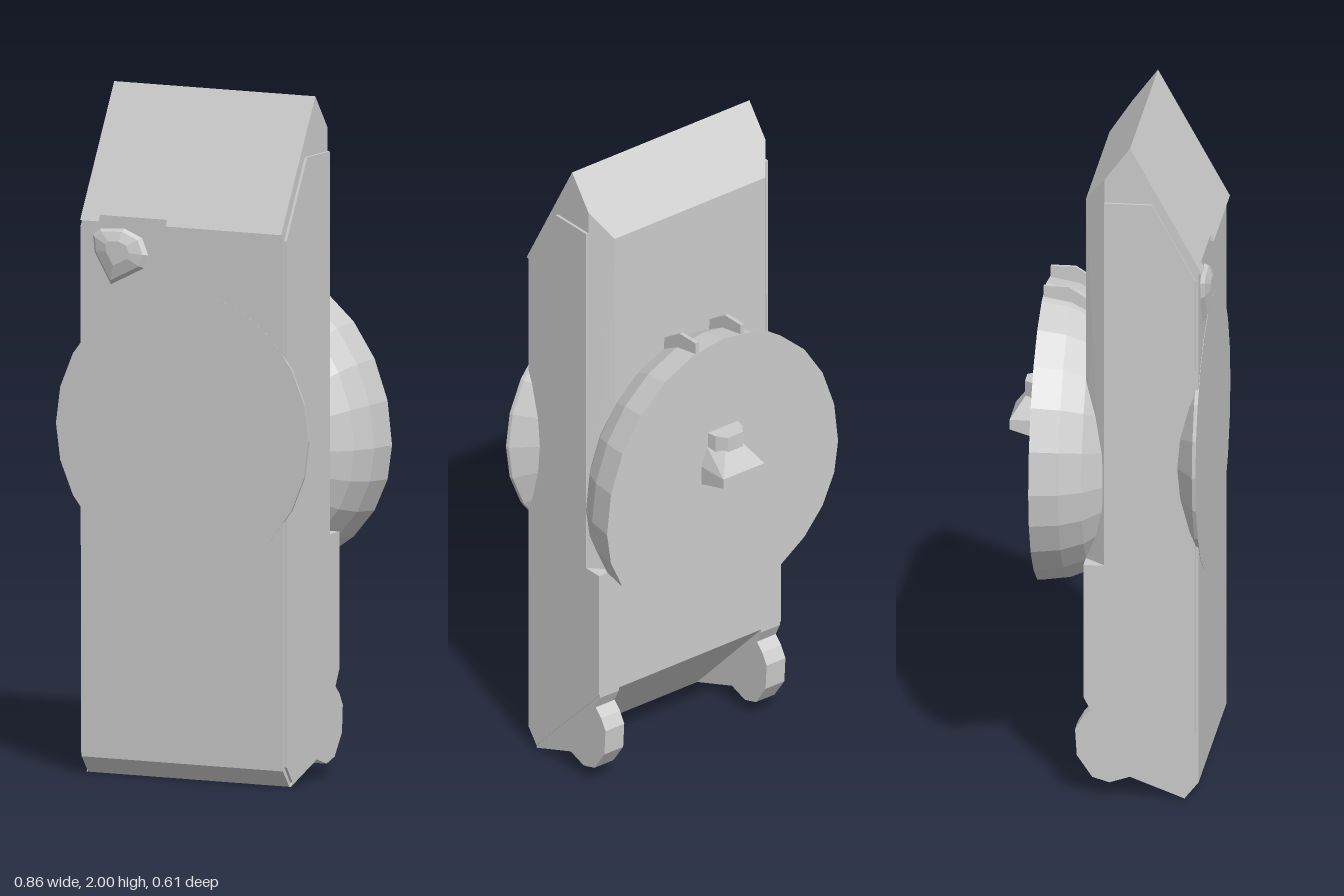
import * as THREE from 'three';
import { ConvexGeometry } from 'three/addons/geometries/ConvexGeometry.js';

const material = new THREE.MeshStandardMaterial({ color: 0xcccccc, flatShading: true });

function addPart(group, name, geometry) {
  const geo = geometry.index ? geometry.toNonIndexed() : geometry;
  geo.computeVertexNormals();
  const mesh = new THREE.Mesh(geo, material);
  mesh.name = name;
  group.add(mesh);
}

// Extrude a side profile of [z, y] points across x0..x1
function sideExtrude(profile, x0, x1) {
  const shape = new THREE.Shape(profile.map(([z, y]) => new THREE.Vector2(z, y)));
  const geo = new THREE.ExtrudeGeometry(shape, { depth: x1 - x0, bevelEnabled: false });
  return geo.rotateY(-Math.PI / 2).translate(x1, 0, 0);
}

// Hull of points mirrored in x
function mirroredHull(points) {
  return new ConvexGeometry(points.flatMap(([x, y, z]) => [
    new THREE.Vector3(x, y, z), new THREE.Vector3(-x, y, z)]));
}

// Revolve [radius, z] points around the z axis
function revolveZ(points, sides) {
  return new THREE.LatheGeometry(points.map(([r, z]) => new THREE.Vector2(r, z)), sides)
    .rotateX(Math.PI / 2);
}

export function createModel() {
  const model = new THREE.Group();
  model.name = 'device';

  // Body with pointed top and sloping underside
  addPart(model, 'body', sideExtrude([
    [0.24, 0], [0.28, 0.05], [0.28, 1.638], [0.08, 2], [0.005, 1.9],
    [0.005, 0.71], [-0.055, 0.71], [-0.055, 0.31]], -0.33, 0.33));

  // Chamfered upper back
  addPart(model, 'upperBack', mirroredHull([
    [0.335, 0.71, 0.005], [0.28, 0.71, -0.055],
    [0.33, 1.9, 0.005], [0.28, 1.82, -0.055]]));

  // Lip under the sloping top, broken by a notch
  for (const [x0, x1] of [[-0.33, -0.27], [-0.05, 0.33]]) {
    addPart(model, 'topLip', sideExtrude([[0.275, 1.62], [0.29, 1.62], [0.28, 1.638], [0.275, 1.64]], x0, x1));
  }

  // Thin side panels and bottom feet
  const panel = [[0.235, 0.012], [0.27, 0.06], [0.272, 1.6], [0.145, 1.83], [0.005, 1.83],
    [0.005, 0.71], [-0.055, 0.71], [-0.055, 0.31]];
  const foot = [[0.24, 0], [0.1, 0.2], [-0.055, 0.33], [-0.055, 0.3], [-0.035, 0.26], [-0.06, 0.235],
    [-0.08, 0.2], [-0.075, 0.12], [-0.03, 0.055], [0.02, 0.04], [0.08, 0.06]];
  for (const s of [-1, 1]) {
    const span = (a, b) => [Math.min(s * a, s * b), Math.max(s * a, s * b)];
    addPart(model, 'sidePanel', sideExtrude(panel, ...span(0.32, 0.338)));
    addPart(model, 'foot', sideExtrude(foot, ...span(0.265, 0.335)));
  }

  // Round front plate that bulges past both sides
  addPart(model, 'frontBulge', revolveZ(
    [[0.33, 0.213], [0.412, 0.27], [0.414, 0.281], [0, 0.281]], 24).translate(0, 1.02, 0));

  // Faceted button
  const rim = [[-0.295, 1.58], [-0.29, 1.53], [-0.235, 1.435], [-0.125, 1.49],
    [-0.11, 1.53], [-0.13, 1.58], [-0.19, 1.605], [-0.27, 1.6]];
  const ring = (k, z) => rim.map(([x, y]) =>
    new THREE.Vector3(-0.2 + (x + 0.2) * k, 1.54 + (y - 1.54) * k, z));
  addPart(model, 'button', new ConvexGeometry([...ring(1, 0.278), ...ring(0.85, 0.292), ...ring(0.42, 0.304)]));

  // Egg-shaped bowl on the back, taller above its centre
  const bowl = revolveZ([[0, -0.205], [0.43, -0.205], [0.417, -0.12],
    [0.387, -0.055], [0.335, 0], [0, 0]], 24);
  const pos = bowl.attributes.position;
  for (let i = 0; i < pos.count; i++) {
    const y = pos.getY(i);
    pos.setY(i, 0.95 + y * (y > 0 ? 0.5 : 0.39) / 0.43);
  }
  addPart(model, 'backBowl', bowl);

  // Ribs at the top of the bowl
  for (const x of [-0.075, 0.093]) {
    addPart(model, 'bowlRib', sideExtrude([[-0.203, 1.38], [-0.055, 1.36], [-0.06, 1.425],
      [-0.13, 1.47], [-0.203, 1.47]], x - 0.006, x + 0.006));
  }

  // Knob: wedge with a narrower plug above
  addPart(model, 'knobBase', mirroredHull([
    [0.078, 0.99, -0.2], [0.076, 1.02, -0.303], [0.076, 1.05, -0.303],
    [0.078, 1.05, -0.2], [0.055, 1.11, -0.2], [0.035, 1.11, -0.262]]));
  addPart(model, 'knobTop', mirroredHull([1.1, 1.155].flatMap((y) => [
    [0.056, y, -0.2], [0.05, y, -0.235], [0.028, y, -0.264]])));

  return model;
}
